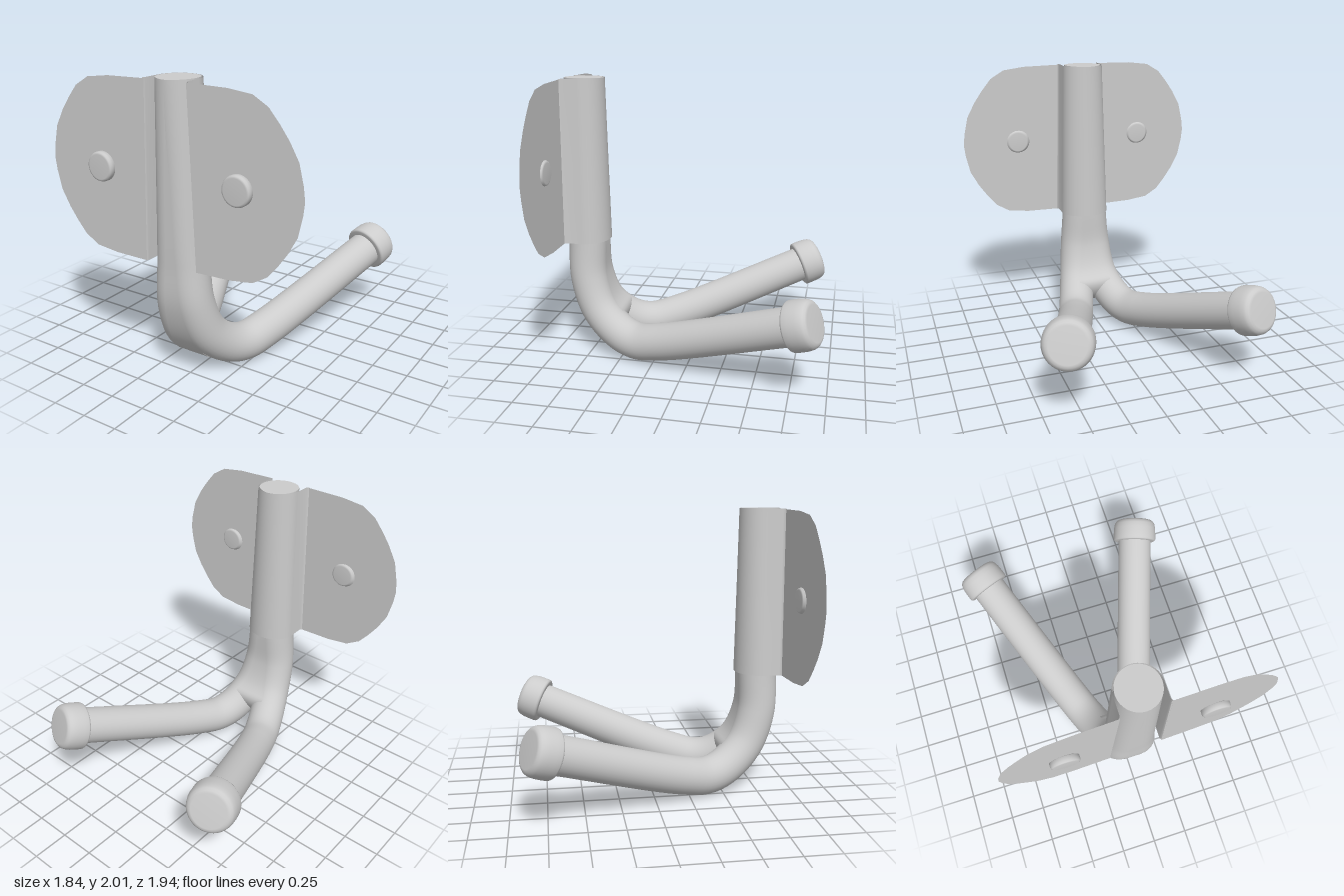
import * as THREE from 'three';

const material = new THREE.MeshStandardMaterial({ color: 0xcccccc, roughness: 0.6 });
const sheetMaterial = new THREE.MeshStandardMaterial({ color: 0xcccccc, roughness: 0.6, side: THREE.DoubleSide });
const V = (x, y, z) => new THREE.Vector3(x, y, z);

// Skin a surface over rows of points, all rows the same length
function loft(rows) {
  const n = rows[0].length;
  const index = [];
  for (let i = 0; i < rows.length - 1; i++) {
    for (let j = 0; j < n - 1; j++) {
      const a = i * n + j, b = a + n;
      index.push(a, b, a + 1, b, b + 1, a + 1);
    }
  }
  const geometry = new THREE.BufferGeometry().setFromPoints(rows.flat());
  geometry.setIndex(index);
  geometry.computeVertexNormals();
  return geometry;
}

// Path from the top of the stem, round the bend and out along one arm
function armPath(side, offset, splay, zEnd) {
  const x = z => offset + splay * (0.4 - z);
  const bend = [[0.32, 0.69], [0.18, 0.54], [0.13, 0.39], [0.165, 0.2], [0.54, zEnd + 0.05]];
  return new THREE.CatmullRomCurve3([
    V(0, 2, 0.785), V(side * 0.02, 1.4, 0.785), V(side * 0.04, 0.84, 0.785), V(side * 0.065, 0.55, 0.775),
    ...bend.map(([y, z]) => V(side * x(z), y, z)),
  ]);
}

// Tube that narrows slightly towards its end
function taperedTube(path, r0, r1) {
  const steps = 90, sides = 32;
  const geometry = new THREE.TubeGeometry(path, steps, r0, sides);
  const pos = geometry.attributes.position, p = V(0, 0, 0);
  for (let i = 0; i <= steps; i++) {
    const c = path.getPointAt(i / steps);
    const k = THREE.MathUtils.lerp(1, r1 / r0, i / steps);
    for (let j = 0; j <= sides; j++) {
      const v = i * (sides + 1) + j;
      p.fromBufferAttribute(pos, v).sub(c).multiplyScalar(k).add(c);
      pos.setXYZ(v, p.x, p.y, p.z);
    }
  }
  return geometry;
}

// Web that fills the valley between the two tubes, with a rounded crotch
function webGeometry(left, right) {
  const r = 0.138, uEnd = 0.57, steps = 40, front = [], back = [], round = [];
  const frame = u => {
    const a = left.getPoint(u), b = right.getPoint(u);
    const t = left.getTangent(u).add(right.getTangent(u)).setX(0).normalize();
    return { a, b, t, n: V(0, -t.z, t.y) };
  };
  const row = ({ a, b, t, n }, angle) => {
    const d = n.clone().multiplyScalar(r * Math.cos(angle)).addScaledVector(t, 0.6 * r * Math.sin(angle));
    return [a.clone().add(d), b.clone().add(d)];
  };
  for (let i = 0; i <= steps; i++) {
    const f = frame(uEnd * i / steps);
    front.push(row(f, 0));
    back.unshift(row(f, Math.PI));
  }
  for (let i = 1; i < 12; i++) round.push(row(frame(uEnd), Math.PI * i / 12));
  return loft([...front, ...round, ...back]);
}

// The mounting plate sits very slightly turned
const plateZ = x => 0.915 - 0.031 * x;

// Half-round channel wrapped over the back of the stem
function saddleGeometry() {
  const rows = [[2, 0.15, 0.145], [1.42, 0.166, 0.152], [0.835, 0.183, 0.16]].map(([y, rx, rz]) => {
    const row = [V(-rx - 0.012, y, plateZ(-rx)), V(-rx, y, plateZ(-rx) - 0.015)];
    for (let i = 0; i <= 24; i++) {
      const a = Math.PI * i / 24;
      row.push(V(-rx * Math.cos(a), y, 0.785 - rz * Math.sin(a)));
    }
    row.push(V(rx, y, plateZ(rx) - 0.015), V(rx + 0.012, y, plateZ(rx)));
    return row;
  });
  return loft(rows);
}

// Flat ear with a rounded outer edge
function flangeGeometry(side) {
  const mid = 1.415;
  const edge = [[0.43, 0.575], [0.59, 0.555], [0.69, 0.495], [0.76, 0.41], [0.82, 0.325], [0.88, 0.215], [0.91, 0.085]];
  const outline = [
    [0.152, mid + 0.58], ...edge.map(([x, h]) => [x, mid + h]), [0.92, mid],
    ...edge.slice().reverse().map(([x, h]) => [x, mid - h]), [0.19, mid - 0.58],
  ];
  const shape = new THREE.Shape(outline.map(([x, y]) => new THREE.Vector2(side * x, y)));
  const geometry = new THREE.ShapeGeometry(shape);
  const pos = geometry.attributes.position;
  for (let i = 0; i < pos.count; i++) pos.setZ(i, plateZ(pos.getX(i)));
  geometry.computeVertexNormals();
  return geometry;
}

// Turned part from [radius, height] points
const turned = points => new THREE.LatheGeometry(points.map(([r, y]) => new THREE.Vector2(r, y)), 40);

export function createModel() {
  const group = new THREE.Group();
  const add = (name, geometry, mat = material) => {
    const mesh = new THREE.Mesh(geometry, mat);
    mesh.name = name;
    group.add(mesh);
    return mesh;
  };

  // Forked hook
  const paths = { left: armPath(1, 0.193, 0.325, -0.91), right: armPath(-1, 0.215, 0.41, -0.86) };
  const capProfile = [
    [0, 0], [0.12, 0], [0.138, -0.006], [0.152, -0.018], [0.161, -0.035], [0.168, -0.07],
    [0.17, -0.12], [0.17, -0.155], [0.166, -0.166], [0.156, -0.172], [0.12, -0.172],
  ].reverse();
  for (const [side, path] of Object.entries(paths)) {
    add(side + 'Arm', taperedTube(path, 0.14, 0.13));

    // Rounded end cap
    const direction = path.getTangent(1);
    const cap = add(side + 'EndCap', turned(capProfile));
    cap.quaternion.setFromUnitVectors(V(0, 1, 0), direction);
    cap.position.copy(path.getPoint(1)).addScaledVector(direction, 0.055);
  }
  add('forkWeb', webGeometry(paths.left, paths.right), sheetMaterial);

  const top = add('stemTop', new THREE.CircleGeometry(0.14, 32));
  top.rotation.x = -Math.PI / 2;
  top.position.set(0, 2, 0.785);

  // Mounting plate with rivets
  add('saddle', saddleGeometry(), sheetMaterial);
  const rivetProfile = [
    [0, -0.018], [0.07, -0.018], [0.082, -0.012], [0.086, 0], [0.097, 0.004],
    [0.097, 0.03], [0.092, 0.042], [0.08, 0.046], [0, 0.046],
  ];
  for (const [side, s] of [['left', 1], ['right', -1]]) {
    add(side + 'Flange', flangeGeometry(s), sheetMaterial);
    const rivet = add(side + 'Rivet', turned(rivetProfile));
    rivet.rotation.x = Math.PI / 2;
    rivet.position.set(s * 0.5, 1.415, plateZ(s * 0.5));
  }
  return group;
}
